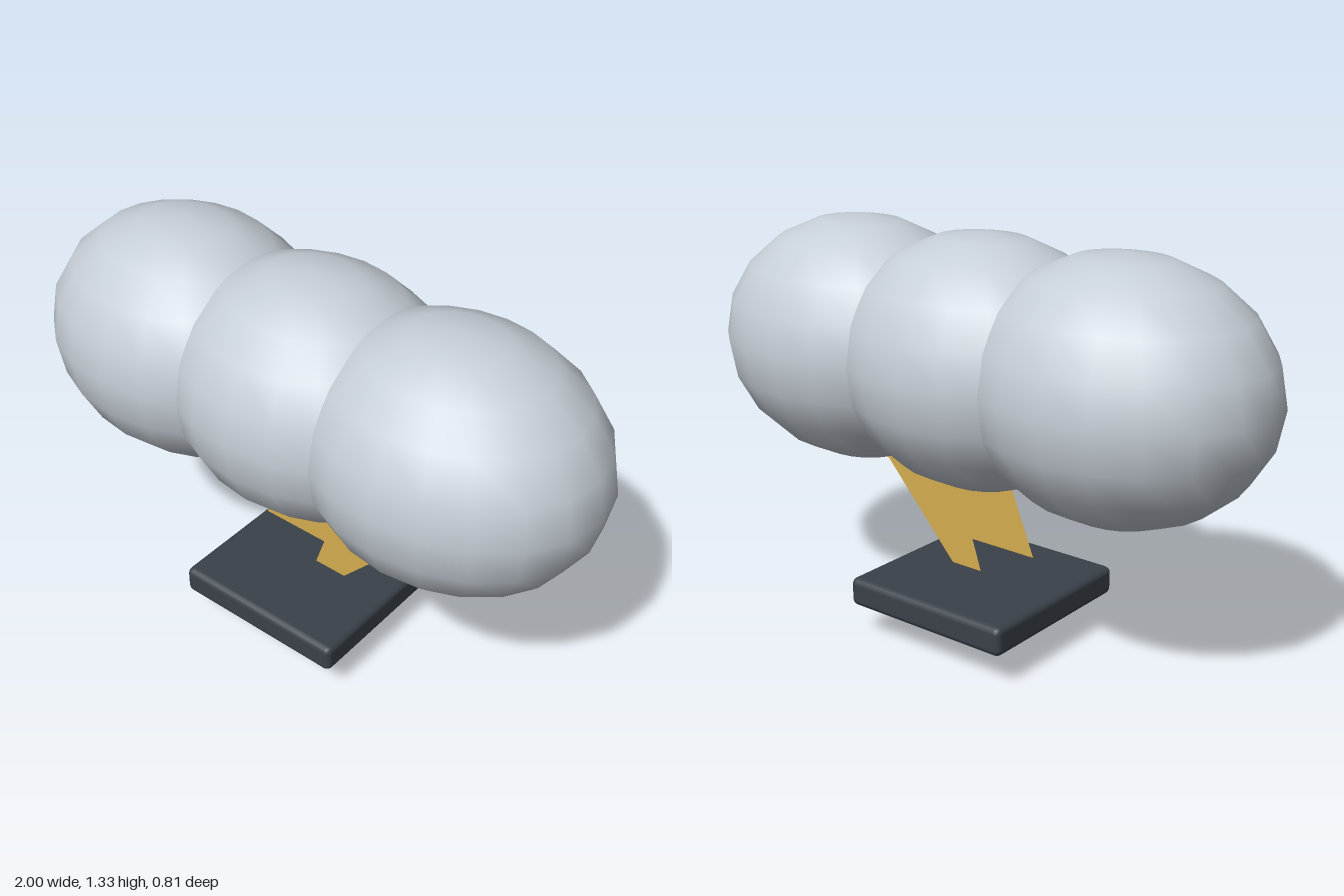
import * as THREE from 'three';
import { RoundedBoxGeometry } from 'three/addons/geometries/RoundedBoxGeometry.js';

function material(name, color) {
  const m = new THREE.MeshStandardMaterial({ color });
  m.name = name;
  return m;
}

export function createModel() {
  const model = new THREE.Group();
  model.name = 'stormCloud';
  const cloudGrey = material('cloudGrey', 0xc6ced6);
  const boltGold = material('boltGold', 0xd4ac4e);
  boltGold.side = THREE.DoubleSide;
  const baseSlate = material('baseSlate', 0x3a4149);

  const add = (name, geometry, mat, x = 0, y = 0, z = 0) => {
    const mesh = new THREE.Mesh(geometry, mat);
    mesh.name = name;
    mesh.position.set(x, y, z);
    model.add(mesh);
    return mesh;
  };

  // Three equal overlapping puffs, stretched sideways
  const puff = new THREE.SphereGeometry(1, 20, 10);
  puff.scale(0.49, 0.405, 0.405);
  [['rightPuff', -0.51], ['middlePuff', 0], ['leftPuff', 0.51]].forEach(([name, x]) =>
    add(name, puff, cloudGrey, x, 0.92));

  // Flat lightning bolt passing through the base
  const outline = [
    [-0.06, 0], [0.44, 0.55], [-0.107, 0.55],
    [-0.205, 0.31], [0.042, 0.31],
  ].map(([x, y]) => new THREE.Vector2(x, y));
  add('lightningBolt', new THREE.ShapeGeometry(new THREE.Shape(outline)), boltGold);

  // Square base slab with softened edges
  add('baseSlab', new RoundedBoxGeometry(0.61, 0.096, 0.61, 2, 0.022), baseSlate, 0, 0.157);

  return model;
}
